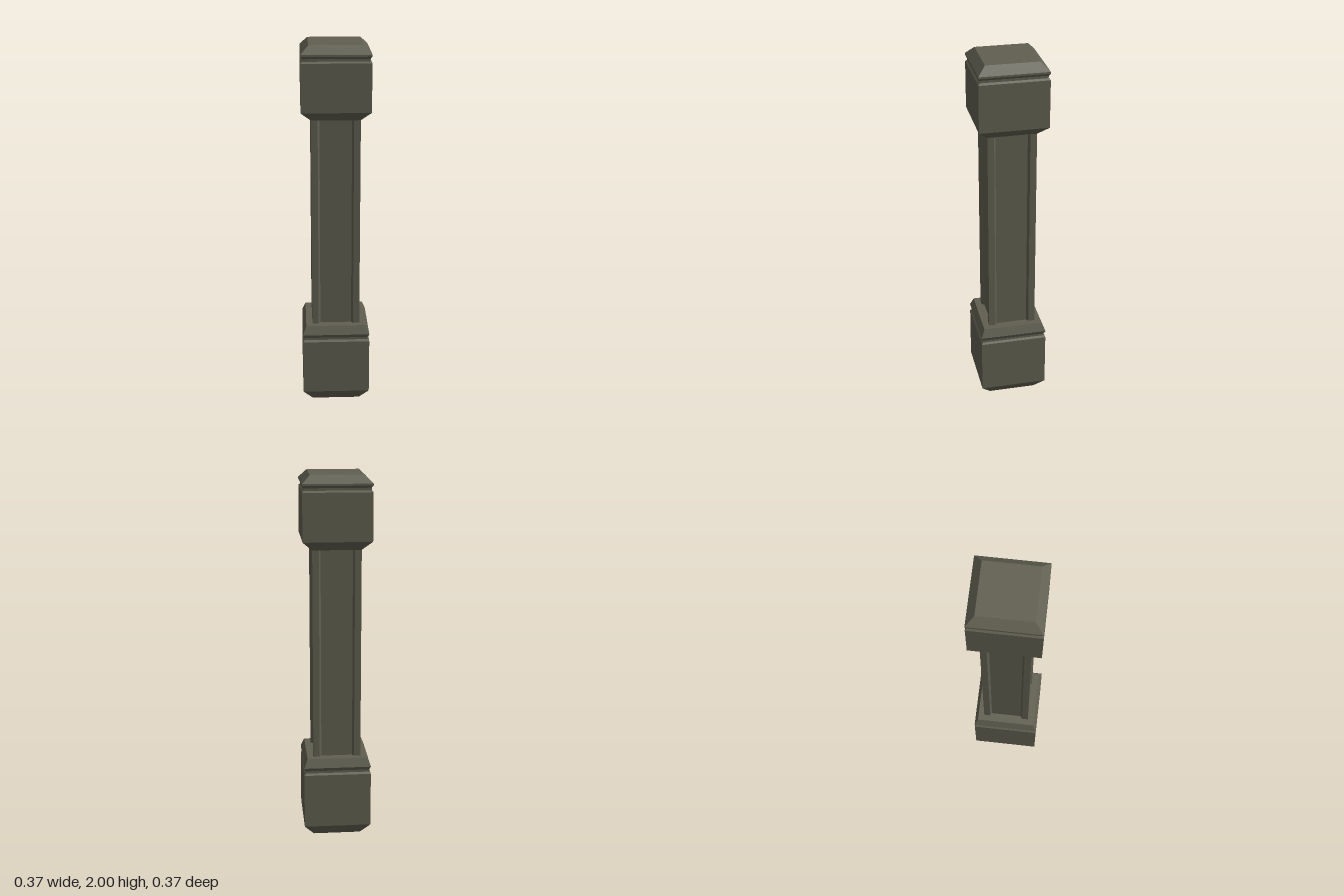
import * as THREE from 'three';

const stone = new THREE.MeshStandardMaterial({ color: 0x605f50, side: THREE.DoubleSide });
stone.name = 'olive stone';

// Square moulding from [halfWidth, y] steps, with flat faces
function squareMoulding(name, profile) {
  const points = profile.map(([half, y]) => new THREE.Vector2(half * Math.SQRT2, y));
  const geometry = new THREE.LatheGeometry(points, 4, Math.PI / 4).toNonIndexed();
  geometry.computeVertexNormals();
  const mesh = new THREE.Mesh(geometry, stone);
  mesh.name = name;
  return mesh;
}

// Square shaft whose four sides have a shallow recessed panel
function shaft(bottom, top) {
  const half = 0.13, inset = 0.115, outer = 0.095, inner = 0.085;
  const side = [[-half, half], [-outer, half], [-inner, inset], [inner, inset], [outer, half]];
  const outline = [];
  for (let i = 0; i < 4; i++) {
    for (const [x, y] of side) {
      outline.push(new THREE.Vector2(x, y).rotateAround(new THREE.Vector2(), -i * Math.PI / 2));
    }
  }
  const geometry = new THREE.ExtrudeGeometry(new THREE.Shape(outline), {
    depth: top - bottom, bevelEnabled: false,
  });
  geometry.rotateX(-Math.PI / 2).translate(0, bottom, 0);
  const mesh = new THREE.Mesh(geometry, stone);
  mesh.name = 'panelledShaft';
  return mesh;
}

export function createModel() {
  const pillar = new THREE.Group();
  pillar.name = 'pillar';
  pillar.add(
    // Hollow foot block, open underneath
    squareMoulding('base', [
      [0.13, 0], [0.183, 0.067], [0.183, 0.37], [0.174, 0.38], [0.174, 0.393],
      [0.183, 0.412], [0.164, 0.46], [0.11, 0.46],
    ]),
    shaft(0.46, 1.61),
    // Head block with its chamfered cap
    squareMoulding('capital', [
      [0.11, 1.608], [0.13, 1.608], [0.183, 1.658], [0.183, 1.913], [0.174, 1.922],
      [0.174, 1.935], [0.183, 1.947], [0.183, 1.957], [0.141, 2], [0, 2],
    ]),
  );
  return pillar;
}
